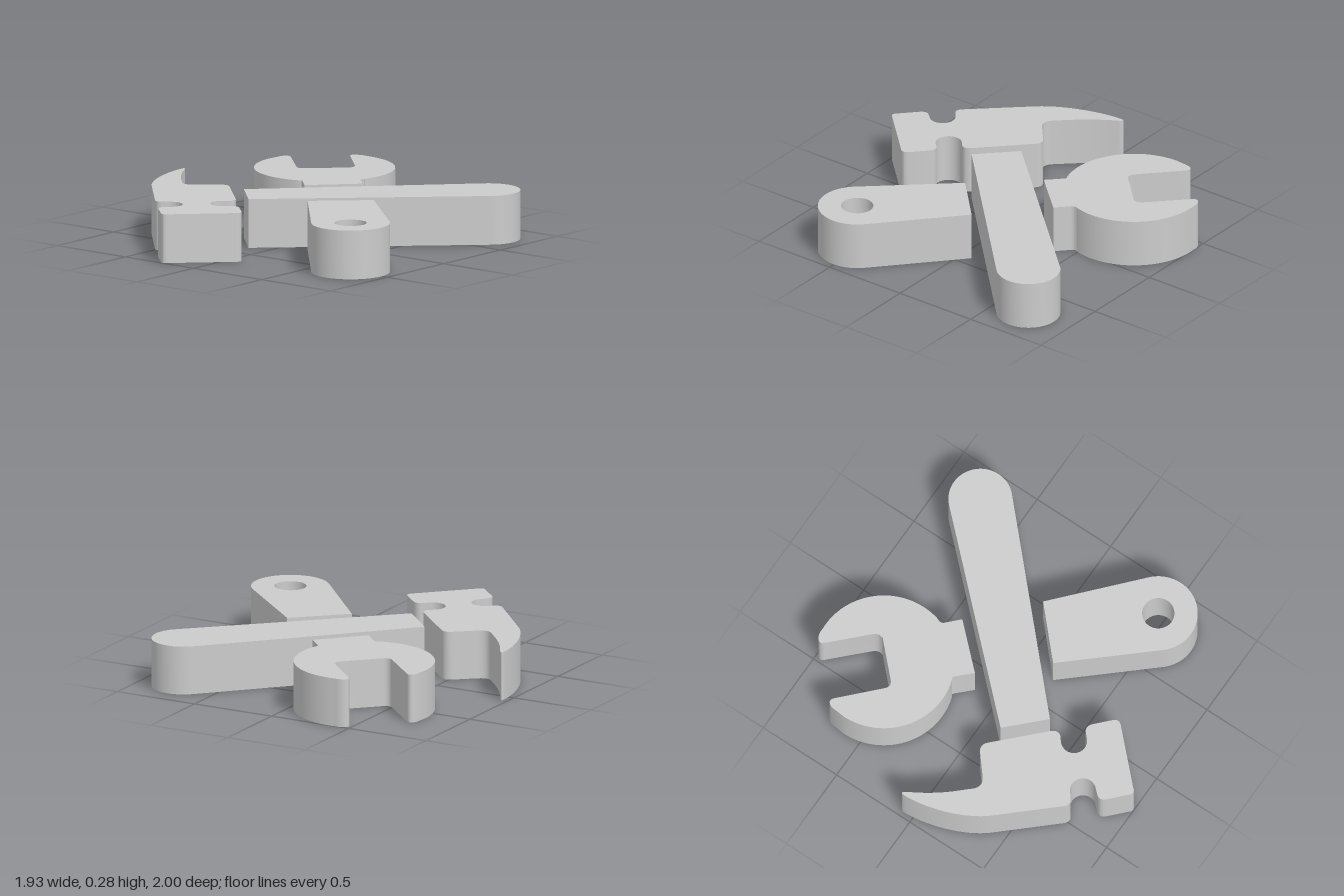
import * as THREE from 'three';
import { toCreasedNormals } from 'three/addons/utils/BufferGeometryUtils.js';

const HEIGHT = 0.28;

// Plan outline in (x, z): [x, z] line, [cx, cz, x, z] quadratic corner,
// six numbers cubic, { arc: [cx, cz, r, from, to] } counterclockwise seen from above.
function outline(steps) {
  const s = new THREE.Shape();
  steps.forEach((p, i) => {
    if (p.arc) {
      const [x, z, r, a, b] = p.arc;
      s.absarc(x, -z, r, a, b, false);
      return;
    }
    const q = p.map((v, k) => (k % 2 ? -v : v));
    if (i === 0) s.moveTo(...q);
    else if (q.length === 2) s.lineTo(...q);
    else if (q.length === 4) s.quadraticCurveTo(...q);
    else s.bezierCurveTo(...q);
  });
  s.closePath();
  return s;
}

// Upright slab standing on the ground, with smooth curves and sharp edges
function slab(name, shape) {
  const geo = new THREE.ExtrudeGeometry(shape, { depth: HEIGHT, bevelEnabled: false, curveSegments: 20 });
  geo.rotateX(-Math.PI / 2);
  const mesh = new THREE.Mesh(toCreasedNormals(geo, 0.5), new THREE.MeshStandardMaterial({ color: 0xcccccc }));
  mesh.name = name;
  return mesh;
}

export function createModel() {
  const group = new THREE.Group();
  group.name = 'crossedTools';

  // Open-ended wrench jaw with a short neck
  const jaw = outline([
    [-0.14, -0.145], [0.085, -0.385], [0.02, -0.448],
    [-0.005, -0.465, 0.005, -0.495],
    { arc: [-0.375, -0.605, 0.398, -0.28, 1.65] },
    [-0.45, -1.005, -0.473, -0.985],
    [-0.49, -0.965, -0.47, -0.945],
    [-0.268, -0.745], [-0.248, -0.715, -0.262, -0.69],
    [-0.44, -0.515], [-0.47, -0.485, -0.5, -0.51],
    [-0.715, -0.715], [-0.745, -0.74, -0.765, -0.695],
    { arc: [-0.375, -0.605, 0.398, Math.PI, 5.05] },
    [-0.235, -0.235], [-0.225, -0.23],
  ]);

  // Wrench handle end with a hanging hole
  const grip = outline([
    [0.43, -0.07], [0.157, 0.185],
    { arc: [0.738, 0.505, 0.222, 3.89, 7.14] },
  ]);
  const hole = new THREE.Path();
  hole.absarc(0.738, -0.505, 0.091, 0, Math.PI * 2, true);
  grip.holes.push(hole);

  // Hammer handle with a rounded end
  const handle = outline([
    [-0.33, 0.16], [-0.13, 0.36],
    { arc: [0.738, -0.709, 0.18, -0.81, 2.386] },
  ]);

  // Hammer head: claw, cheek, two neck notches and striking face
  const head = outline([
    [-0.97, -0.07], [-0.965, -0.09, -0.945, -0.06],
    [-0.88, 0.06, -0.79, 0.16],
    [-0.72, 0.235], [-0.675, 0.285, -0.62, 0.235],
    [-0.525, 0.155], [-0.485, 0.115, -0.445, 0.15],
    [-0.19, 0.4], [-0.155, 0.435, -0.18, 0.465],
    { arc: [-0.16, 0.545, 0.074, 2.36, 5.4] },
    [-0.08, 0.57], [-0.055, 0.55, -0.025, 0.57],
    [0.065, 0.655], [0.09, 0.68, 0.07, 0.705],
    [-0.2, 0.975], [-0.225, 1.01, -0.25, 0.985],
    [-0.345, 0.895], [-0.375, 0.868, -0.357, 0.84],
    { arc: [-0.378, 0.755, 0.073, -0.8, 2.35] },
    // The arc ends on the under side, where the cheek begins
    [-0.457, 0.725], [-0.485, 0.75, -0.515, 0.72],
    [-0.8, 0.407], [-0.9, 0.29, -0.97, 0.08, -0.97, -0.07],
  ]);

  group.add(
    slab('wrenchJaw', jaw),
    slab('wrenchGrip', grip),
    slab('hammerHandle', handle),
    slab('hammerHead', head),
  );
  return group;
}
